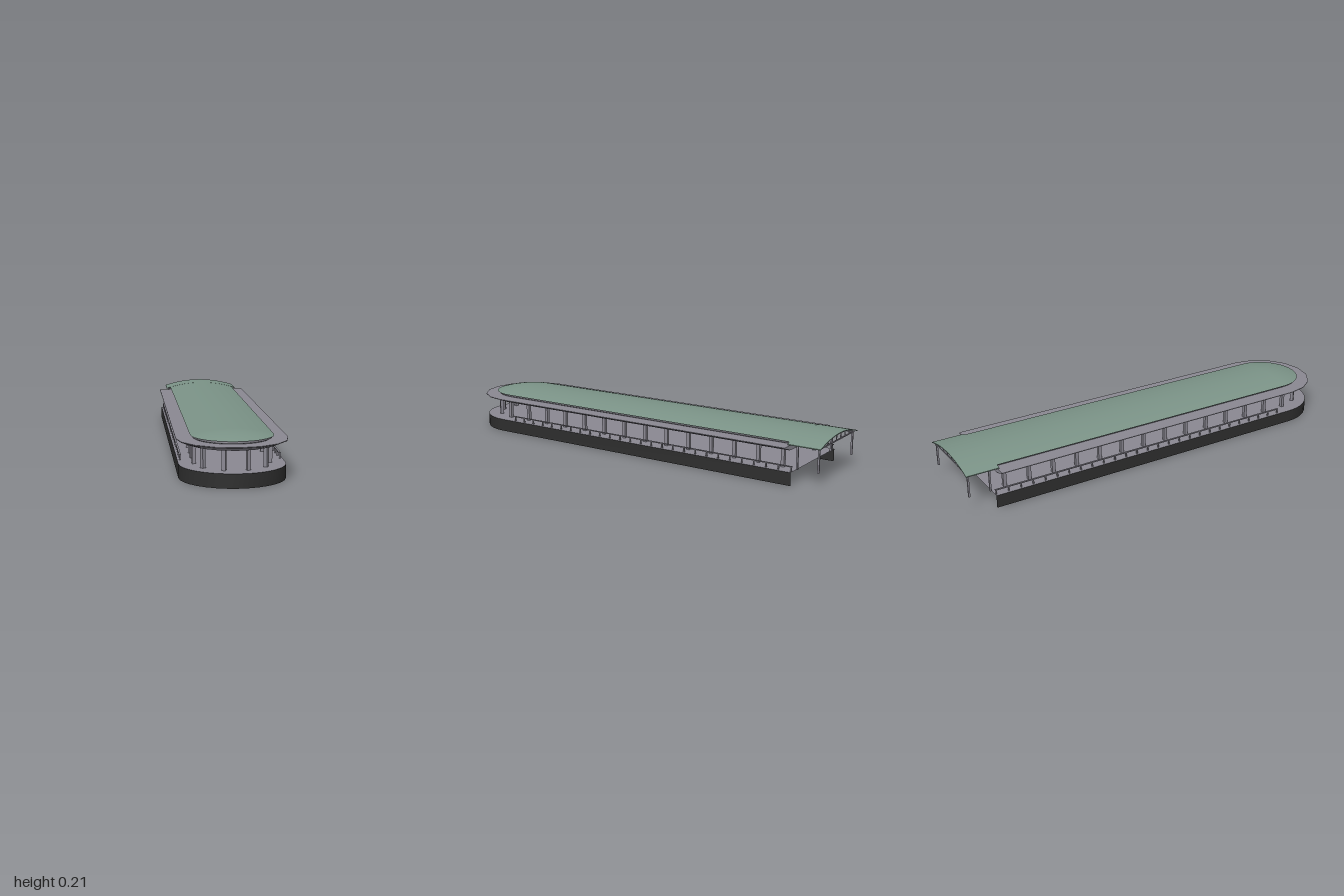
import * as THREE from 'three';

const mat = (name, color) => new THREE.MeshStandardMaterial({ name, color, side: THREE.DoubleSide });
const CZ = 0.765;      // centre of the rounded front end
const ROOF_BACK = -0.85;
const DECK = 0.06;
const arcY = (x) => 0.205 - 0.82 * x * x; // shared roof curve

// Sweep a [halfWidth, y] profile along both sides and round the front end.
function sweep(profile, back, segs) {
  const n = profile.length, pos = [], idx = [];
  for (let i = 0; i <= segs + 2; i++) {
    const a = (Math.PI * THREE.MathUtils.clamp(i - 1, 0, segs)) / segs;
    const end = i === 0 || i === segs + 2;
    for (const [r, y] of profile) pos.push(r * Math.cos(a), y, end ? back : CZ + r * Math.sin(a));
  }
  for (let i = 0; i < segs + 2; i++) {
    for (let j = 0; j < n - 1; j++) {
      const a = i * n + j, b = a + n;
      idx.push(a, a + 1, b, b, a + 1, b + 1);
    }
  }
  const g = new THREE.BufferGeometry();
  g.setAttribute('position', new THREE.Float32BufferAttribute(pos, 3));
  g.setIndex(idx);
  g.computeVertexNormals();
  return g;
}

// Extrude an [x, y] outline from z0 to z1.
function slab(points, z0, z1) {
  const shape = new THREE.Shape(points.map(([x, y]) => new THREE.Vector2(x, y)));
  const g = new THREE.ExtrudeGeometry(shape, { depth: z1 - z0, bevelEnabled: false });
  return g.translate(0, 0, z0);
}

// Points along the roof curve, from x = a to x = b.
const arcPoints = (a, b, dy, steps = 20) => Array.from({ length: steps + 1 }, (_, i) => {
  const x = a + ((b - a) * i) / steps;
  return [x, arcY(x) + dy];
});

export function createModel() {
  const model = new THREE.Group();
  model.name = 'platformPavilion';
  const green = mat('roofGreen', 0x7b9387);
  const grey = mat('concreteGrey', 0x8a8892);
  const dark = mat('baseDark', 0x2e2e2e);

  const add = (name, geo, material, parent = model) => {
    const m = new THREE.Mesh(geo, material);
    m.name = name;
    parent.add(m);
    return m;
  };
  const group = (name) => {
    const g = new THREE.Group();
    g.name = name;
    model.add(g);
    return g;
  };
  const box = (name, w, h, d, x, y, z, material, parent) => {
    const m = add(name, new THREE.BoxGeometry(w, h, d), material, parent);
    m.position.set(x, y, z);
    return m;
  };

  // Platform: skirt wall open at the back and below, with a thin deck
  add('baseWall', sweep([[0.225, 0], [0.225, DECK]], -0.88, 16), dark);
  add('deck', sweep([[0.225, DECK], [0, DECK]], -0.88, 16), grey);

  // Eave: flared soffit, thin rim, flat top and ceiling
  add('eaveSoffit', sweep([[0.165, 0.143], [0.185, 0.145], [0.21, 0.154], [0.235, 0.164]], ROOF_BACK, 8), grey);
  add('eaveRim', sweep([[0.235, 0.164], [0.235, 0.167]], ROOF_BACK, 8), grey);
  add('eaveTop', sweep([[0.235, 0.167], [0.155, 0.167]], ROOF_BACK, 8), grey);
  add('ceiling', sweep([[0.165, 0.143], [0, 0.143]], ROOF_BACK, 8), grey);

  // Rounded band between the eave and the roof
  add('roofBand', sweep([[0.158, 0.167], [0.165, 0.171], [0.165, 0.177], [0.158, 0.183]], ROOF_BACK, 16), grey);

  // Curved main roof with domed front end
  const roofProfile = Array.from({ length: 11 }, (_, i) => {
    const r = 0.175 * (1 - i / 10);
    return [r, arcY(r)];
  });
  add('mainRoof', sweep(roofProfile, ROOF_BACK, 16), green);
  add('roofEdge', sweep([[0.16, 0.178], [0.175, arcY(0.175)]], ROOF_BACK, 16), green);

  // Rear gable closing the roof
  add('rearGable', slab([
    [-0.235, 0.165], [-0.21, 0.154], [-0.165, 0.143], [0.165, 0.143], [0.21, 0.154], [0.235, 0.165],
    [0.165, 0.167], ...arcPoints(0.165, -0.165, -0.003), [-0.165, 0.167],
  ], ROOF_BACK, ROOF_BACK + 0.004), grey);

  // Rear canopy
  add('canopyRoof', slab([...arcPoints(-0.195, 0.195, 0.0005), ...arcPoints(0.195, -0.195, -0.0035)], -1, -0.845), green);
  const frame = group('canopyFrame');
  for (const z of [-0.985, -0.885]) {
    box('canopyBeam', 0.36, 0.005, 0.005, 0, 0.168, z, grey, frame);
    for (let i = -3; i <= 3; i++) {
      const x = i * 0.045, h = arcY(x) - 0.17;
      box('canopyStrut', 0.004, h, 0.004, x, 0.168 + h / 2, z, grey, frame);
    }
    for (const s of [-1, 1]) box('canopyPost', 0.008, 0.11, 0.008, s * 0.175, 0.117, z, grey, frame);
  }
  for (const s of [-1, 1]) box('canopySideBeam', 0.005, 0.005, 0.135, s * 0.175, 0.17, -0.925, grey, frame);

  // Columns: two straight rows and a half ring at the front
  const columns = group('columns');
  const column = (x, z, turn) => {
    box('column', 0.016, 0.086, 0.016, x, 0.102, z, grey, columns).rotation.y = turn;
  };
  for (let i = 0; i < 14; i++) {
    for (const s of [-1, 1]) column(s * 0.16, CZ - i * 0.1212, 0);
  }
  for (const deg of [-54, -18, 18, 54]) {
    const a = THREE.MathUtils.degToRad(deg);
    column(0.16 * Math.sin(a), CZ + 0.16 * Math.cos(a), a);
  }

  // Side railings
  const railings = group('railings');
  for (const s of [-1, 1]) {
    box('handrail', 0.008, 0.004, 1.575, s * 0.213, 0.083, -0.0925, grey, railings);
    for (let i = 0; i <= 26; i++) {
      box('railPost', 0.006, 0.024, 0.005, s * 0.213, 0.071, 0.69 - i * 0.0602, grey, railings);
    }
  }
  return model;
}
